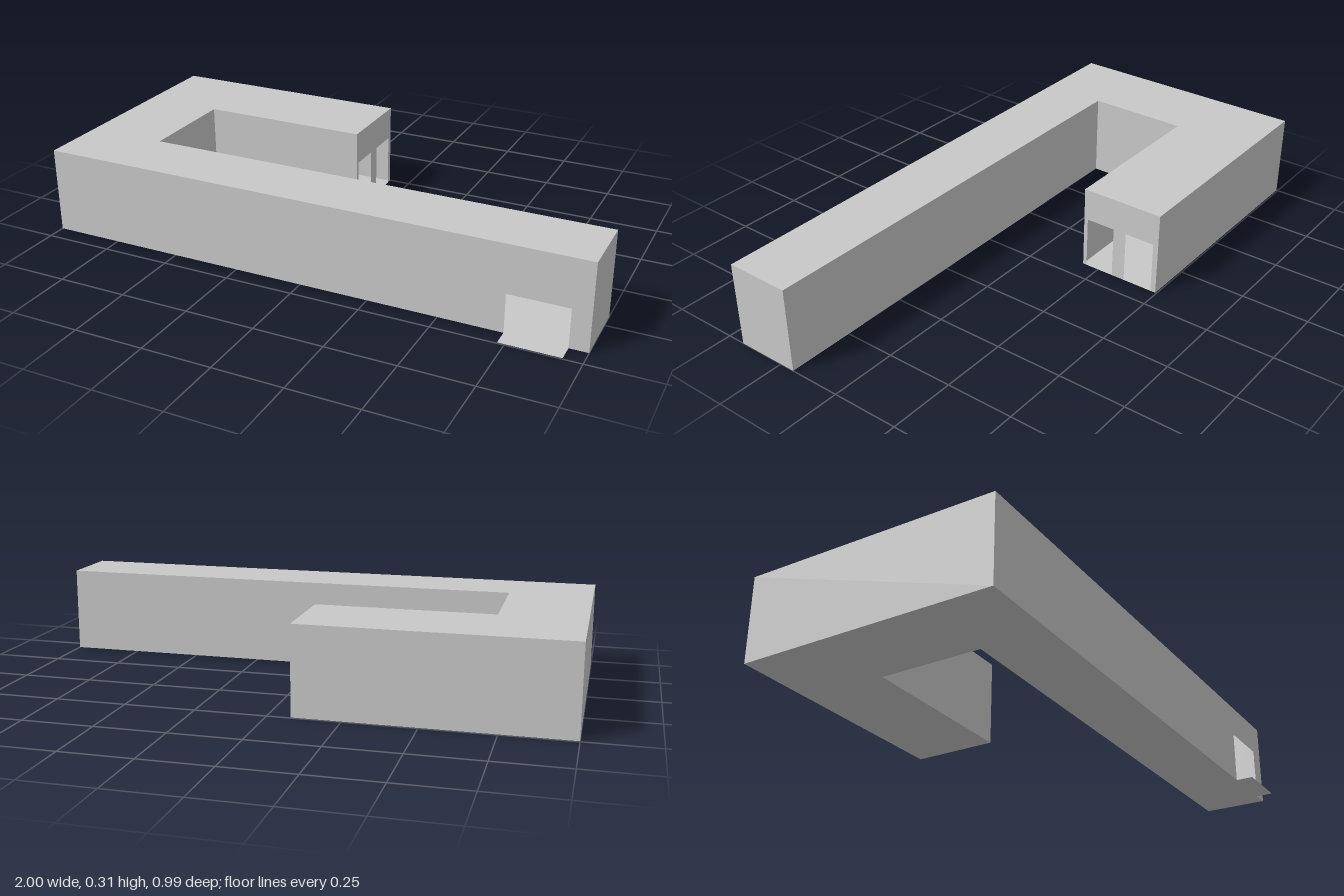
import * as THREE from 'three';

const HEIGHT = 0.313;
const DOOR_HEIGHT = 0.193;

export function createModel() {
  const model = new THREE.Group();
  model.name = 'building';
  const plaster = new THREE.MeshStandardMaterial({ color: 0xc8c8c8, side: THREE.DoubleSide });
  plaster.name = 'light grey plaster';

  function add(name, geometry) {
    const mesh = new THREE.Mesh(geometry, plaster);
    mesh.name = name;
    model.add(mesh);
    return mesh;
  }

  // Plan corners as [x, z]; each wall runs from its corner to the next.
  // Doors are [start, end] distances along the wall.
  const walls = [
    { name: 'frontWall', at: [-1, 0.432], doors: [[1.725, 1.935]] },
    { name: 'frontWingEndWall', at: [1, 0.432] },
    { name: 'courtyardFrontWall', at: [1, 0.192] },
    { name: 'courtyardSideWall', at: [-0.705, 0.192] },
    { name: 'courtyardBackWall', at: [-0.705, -0.184] },
    { name: 'backWingEndWall', at: [-0.08, -0.184], doors: [[0.015, 0.126], [0.177, 0.291]] },
    { name: 'backWall', at: [-0.08, -0.495] },
    { name: 'sideWall', at: [-1, -0.495] },
  ];

  // Thin shell walls, with door openings notched out of the lower edge
  walls.forEach(({ name, at: [x, z], doors = [] }, i) => {
    const [nx, nz] = walls[(i + 1) % walls.length].at;
    const length = Math.hypot(nx - x, nz - z);
    const outline = new THREE.Shape().moveTo(0, 0);
    for (const [a, b] of doors) {
      outline.lineTo(a, 0).lineTo(a, DOOR_HEIGHT).lineTo(b, DOOR_HEIGHT).lineTo(b, 0);
    }
    outline.lineTo(length, 0).lineTo(length, HEIGHT).lineTo(0, HEIGHT).closePath();
    const wall = add(name, new THREE.ShapeGeometry(outline));
    wall.position.set(x, 0, z);
    wall.rotation.y = Math.atan2(z - nz, nx - x);
  });

  // Floor and flat roof share the plan
  const plan = new THREE.Shape(walls.map(({ at: [x, z] }) => new THREE.Vector2(x, -z)));
  const slab = new THREE.ShapeGeometry(plan).rotateX(-Math.PI / 2);
  add('floor', slab);
  add('roof', slab).position.y = HEIGHT;

  // Doorstep in front of the entrance
  const step = add('doorstep', new THREE.PlaneGeometry(0.21, 0.063).rotateX(-Math.PI / 2));
  step.position.set(0.83, 0, 0.4635);

  return model;
}
